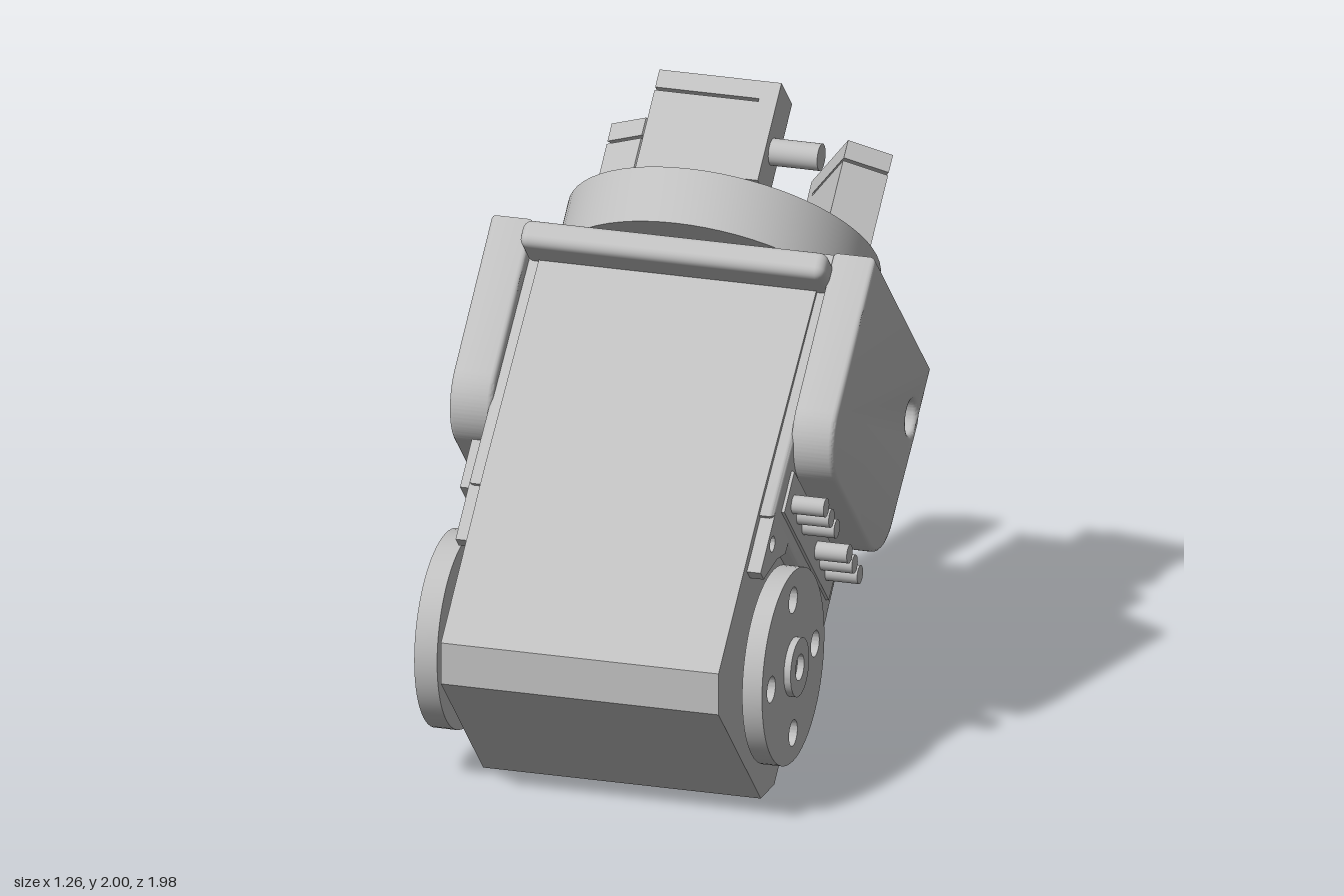
import * as THREE from 'three';
import { toCreasedNormals } from 'three/addons/utils/BufferGeometryUtils.js';
import { RoundedBoxGeometry } from 'three/addons/geometries/RoundedBoxGeometry.js';

const grey = new THREE.MeshStandardMaterial({ color: 0xc0c0c0 });
grey.name = 'plain grey';

export function createModel() {
  const model = new THREE.Group();
  model.name = 'tiltedServoGripper';
  // Local frame: y runs along the servo, z is its broad front, tilted back by 45 degrees
  const tilt = new THREE.Group();
  tilt.name = 'tiltedAssembly';
  tilt.rotation.x = -Math.PI / 4;
  tilt.position.set(0, 0.704 * Math.SQRT1_2, 0.704 * Math.SQRT1_2);
  model.add(tilt);

  const add = (name, geo, parent = tilt) => {
    const mesh = new THREE.Mesh(geo, grey);
    mesh.name = name;
    parent.add(mesh);
    return mesh;
  };
  const circle = (x, y, r, Type = THREE.Path) => new Type().absarc(x, y, r, 0, Math.PI * 2, false);
  const polygon = (pts, Type = THREE.Shape) => new Type(pts.map(([a, b]) => new THREE.Vector2(a, b)));
  const extrude = (shape, depth, bevel = 0) => {
    const geo = new THREE.ExtrudeGeometry(shape, {
      depth: depth - 2 * bevel, curveSegments: 32, bevelEnabled: bevel > 0,
      bevelSize: bevel, bevelThickness: bevel, bevelOffset: -bevel, bevelSegments: 3,
    }).translate(0, 0, bevel);
    return toCreasedNormals(geo, 0.6);
  };
  // Profile in (-z, y), extruded along x from x0 to x1
  const sideways = (shape, x0, x1, bevel) => extrude(shape, x1 - x0, bevel).rotateY(Math.PI / 2).translate(x0, 0, 0);
  // Profile in (x, -z), extruded along y from y0 to y1
  const upward = (shape, y0, y1) => extrude(shape, y1 - y0).rotateX(-Math.PI / 2).translate(0, y0, 0);
  const box = (x0, x1, y0, y1, z0, z1) => new THREE.BoxGeometry(x1 - x0, y1 - y0, z1 - z0)
    .translate((x0 + x1) / 2, (y0 + y1) / 2, (z0 + z1) / 2);

  // Servo case with chamfered foot and slightly tapered faces
  add('servoCase', sideways(polygon([
    [-0.3, -0.407], [0.3, -0.407], [0.396, -0.311], [0.393, 0.3], [0.36, 1.05],
    [-0.36, 1.05], [-0.393, 0.3], [-0.396, -0.311],
  ]), -0.455, 0.455));
  add('upperCase', sideways(polygon([
    [-0.378, 0.25], [0.378, 0.25], [0.35, 1.05], [-0.35, 1.05],
  ]), -0.5, 0.5, 0.015));

  // Case collar and the cross plate of the bracket
  add('collar', new RoundedBoxGeometry(1, 0.09, 0.95, 3, 0.03).translate(0, 1.085, 0));
  add('bracketTop', box(-0.5, 0.5, 1.06, 1.16, -0.38, 0.38));

  const hornY = -0.081;
  for (const s of [-1, 1]) {
    const side = (a, b) => (s > 0 ? [a, b] : [-b, -a]);

    // Bracket cheek with rounded lower corners and two sunk screws
    const h = 0.396, low = 0.455, top = 1.16, r = 0.17;
    const cheek = new THREE.Shape();
    cheek.moveTo(-h, top).lineTo(-h, low + r);
    cheek.absarc(-h + r, low + r, r, Math.PI, Math.PI * 1.5, false);
    cheek.absarc(h - r, low + r, r, Math.PI * 1.5, Math.PI * 2, false);
    cheek.lineTo(h, top);
    for (const z of [-0.323, 0.323]) cheek.holes.push(circle(z, 0.952, 0.055));
    add('bracketCheek', sideways(cheek, ...side(0.49, 0.63), 0.015));
    for (const z of [-0.323, 0.323]) {
      const head = circle(z, 0.952, 0.06, THREE.Shape);
      const hex = [0, 1, 2, 3, 4, 5].map(i => [z + 0.032 * Math.cos(i * Math.PI / 3), 0.952 + 0.032 * Math.sin(i * Math.PI / 3)]);
      head.holes.push(polygon(hex, THREE.Path));
      add('cheekScrew', sideways(head, ...side(0.5, 0.56)));
    }

    // Case lugs hugging the horn, each with a screw hole
    for (const m of [-1, 1]) {
      const lug = polygon([
        [0.365 * m, 0.06], [0.365 * m, 0.27], [0.17 * m, 0.27], [0.175 * m, 0.22],
        [0.24 * m, 0.17], [0.3 * m, 0.09], [0.32 * m, 0.06],
      ]);
      lug.holes.push(circle(0.32 * m, 0.184, 0.025));
      add('caseLug', sideways(lug, ...side(0.45, 0.5)));
    }

    // Round horn with four holes, hub behind and boss in front
    const [x0, x1] = s > 0 ? [0.49, 0.555] : [-0.585, -0.51];
    const horn = circle(0, hornY, 0.313, THREE.Shape);
    for (let i = 0; i < 4; i++) {
      const a = Math.PI / 4 + i * Math.PI / 2;
      horn.holes.push(circle(0.22 * Math.cos(a), hornY + 0.22 * Math.sin(a), 0.042));
    }
    add('horn', sideways(horn, x0, x1));
    add('hornHub', sideways(circle(0, hornY, 0.14, THREE.Shape), ...side(0.45, 0.52)));
    const boss = circle(0, hornY, 0.094, THREE.Shape);
    if (s > 0) {
      boss.holes.push(circle(0, hornY, 0.042));
      add('hornBoss', sideways(boss, 0.54, 0.577));
    } else {
      // Cross recess
      const a = 0.014, b = 0.05;
      boss.holes.push(polygon([
        [a, b], [a, a], [b, a], [b, -a], [a, -a], [a, -b],
        [-a, -b], [-a, -a], [-b, -a], [-b, a], [-a, a], [-a, b],
      ].map(([p, q]) => [p, q + hornY]), THREE.Path));
      add('hornScrew', sideways(boss, -0.632, -0.575, 0.012));
    }
  }

  // Connector block with two rows of pins on the left, plain cover on the right
  add('connectorBlock', box(0.45, 0.51, 0.3, 0.443, -0.32, 0.31));
  for (const z of [0.237, 0.162, 0.086, -0.094, -0.167, -0.242]) {
    add('connectorPin', new THREE.CylinderGeometry(0.03, 0.03, 0.155, 24).rotateZ(Math.PI / 2).translate(0.538, 0.364, z));
  }
  add('caseCover', box(-0.565, -0.45, 0.29, 0.46, -0.26, 0.25));

  // Gripper disc
  const disc = circle(0, 0, 0.5, THREE.Shape);
  disc.holes.push(circle(0, 0, 0.155));
  for (const deg of [90, 210, 330]) {
    const a = deg * Math.PI / 180;
    disc.holes.push(circle(0.35 * Math.cos(a), 0.35 * Math.sin(a), 0.05));
  }
  add('gripperDisc', upward(disc, 1.155, 1.345));

  // Three slotted finger blocks, each with a side pin
  for (const [angle, s] of [[0, 1], [120, 1], [-120, -1]]) {
    const pivot = new THREE.Group();
    pivot.name = 'finger';
    pivot.rotation.y = angle * Math.PI / 180;
    tilt.add(pivot);
    const z0 = 0.267, z1 = 0.417, zc = 0.342;
    const block = polygon([[-0.2, -z0], [0.2, -z0], [0.2, -z1], [-0.2, -z1]]);
    block.holes.push(circle(0, -zc, 0.04));
    add('fingerBlock', upward(block, 1.368, 1.636), pivot);
    add('fingerCap', upward(block, 1.646, 1.707), pivot);
    const bridge = (name, a, b, y0, y1) =>
      add(name, box(Math.min(a * s, b * s), Math.max(a * s, b * s), y0, y1, z0, z1), pivot);
    bridge('capBridge', 0.14, 0.2, 1.636, 1.646);
    bridge('baseBridge', -0.2, -0.14, 1.358, 1.368);
    bridge('fingerFoot', -0.2, 0.2, 1.34, 1.358);
    add('fingerPin', new THREE.CylinderGeometry(0.043, 0.043, 0.17, 32)
      .rotateZ(Math.PI / 2).translate(0.275 * s, 1.504, zc), pivot);
  }
  return model;
}
